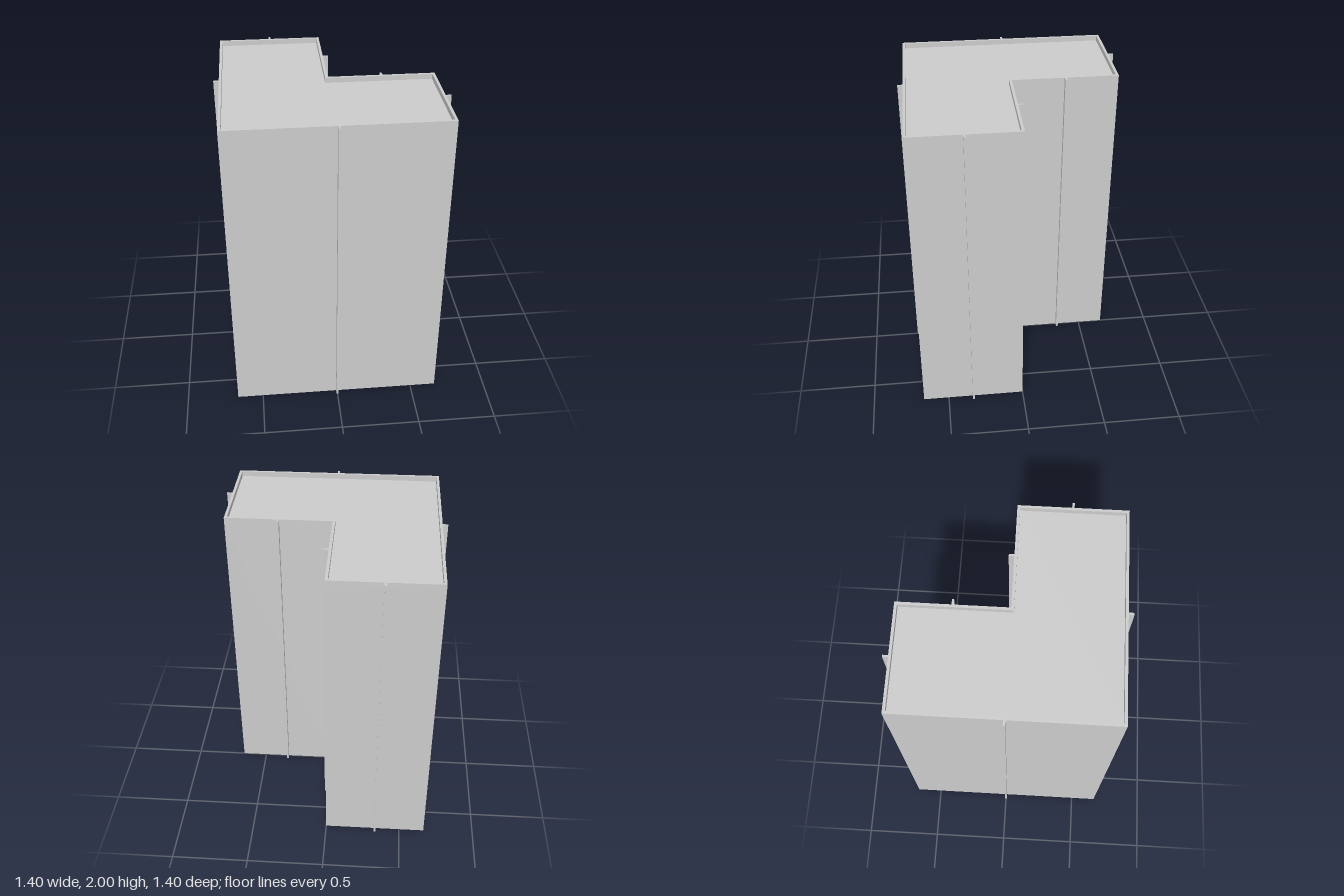
import * as THREE from 'three';

const H = 2, S = 0.667;           // total height, half width of the plan
const RIM = 0.017, DROP = 0.033;  // parapet thickness and height
const FIN_W = 0.013, FIN_D = 0.033;

// L-shaped plan (shape y = -z), moved inwards by d
function planPoints(d) {
  const o = S - d;
  return [[-o, -o], [o, -o], [o, -d], [-d, -d], [-d, o], [-o, o]]
    .map(([x, y]) => new THREE.Vector2(x, y));
}

function extrudeUp(shape, height, y) {
  const geo = new THREE.ExtrudeGeometry(shape, { depth: height, bevelEnabled: false });
  geo.rotateX(-Math.PI / 2);
  geo.translate(0, y, 0);
  return geo;
}

export function createModel() {
  const group = new THREE.Group();
  const material = new THREE.MeshStandardMaterial({ color: 0xcccccc, flatShading: true });
  const add = (name, geo) => {
    const mesh = new THREE.Mesh(geo, material);
    mesh.name = name;
    group.add(mesh);
    return mesh;
  };

  // Tower block up to the sunken roof
  add('towerBody', extrudeUp(new THREE.Shape(planPoints(0)), H - DROP, 0));

  // Parapet rim around the roof
  const rim = new THREE.Shape(planPoints(0));
  rim.holes.push(new THREE.Path(planPoints(RIM).reverse()));
  add('roofParapet', extrudeUp(rim, DROP, H - DROP));

  // One full-height fin in the middle of each wall: wall point and outward direction (x, z)
  const fins = [
    ['frontFin', 0, S, 0, 1],
    ['leftFin', S, S / 2, 1, 0],
    ['innerBackFin', S / 2, 0, 0, -1],
    ['innerLeftFin', 0, -S / 2, 1, 0],
    ['backFin', -S / 2, -S, 0, -1],
    ['rightFin', -S, 0, -1, 0],
  ];
  for (const [name, x, z, nx, nz] of fins) {
    const fin = add(name, new THREE.BoxGeometry(nx ? FIN_D : FIN_W, H, nz ? FIN_D : FIN_W));
    fin.position.set(x + nx * FIN_D / 2, H / 2, z + nz * FIN_D / 2);
  }
  return group;
}
